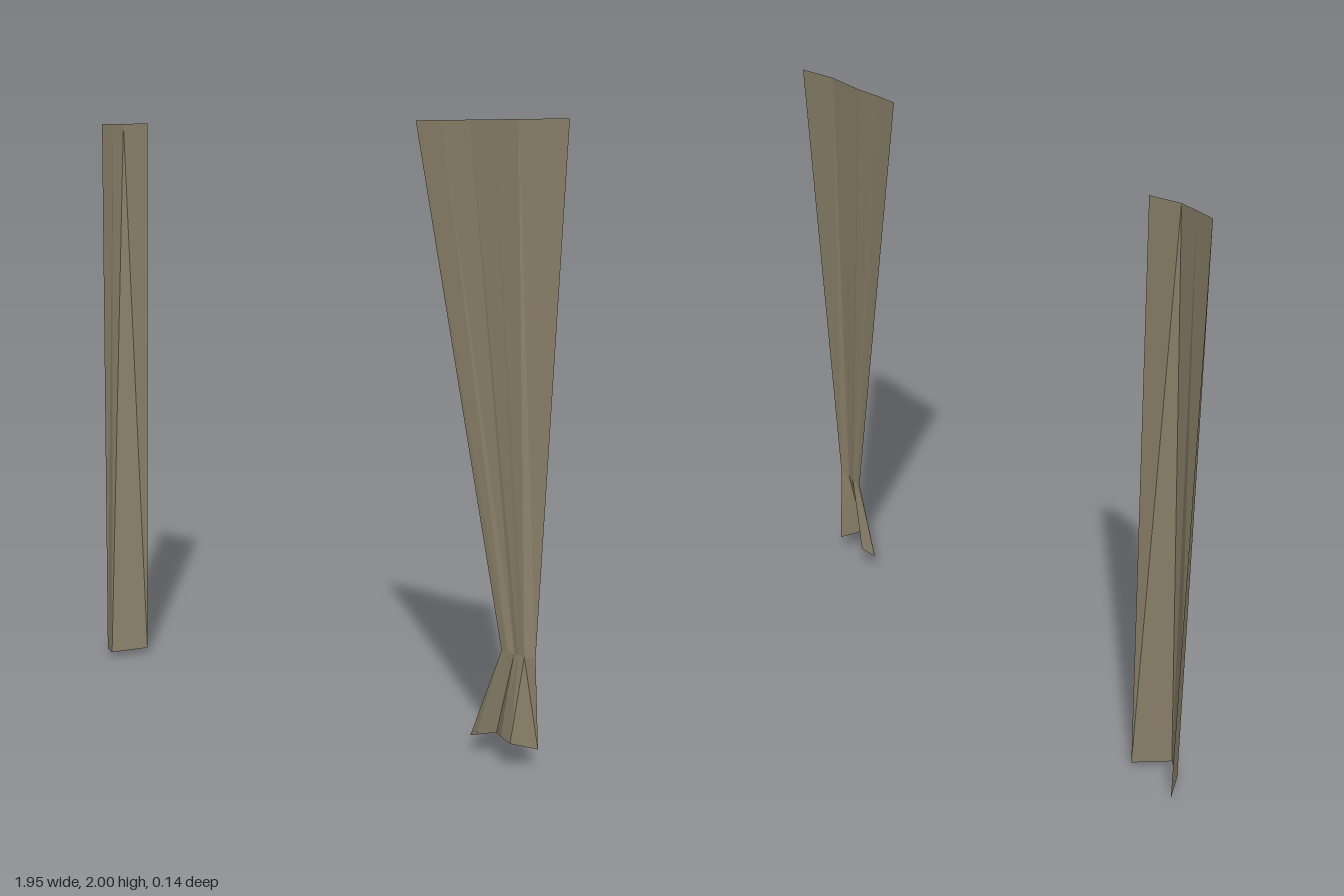
import * as THREE from 'three';

// Pleated cloth sheet from cross-section rows, listed top to bottom, points running along +x
function clothSheet(name, rows, material) {
  const columns = rows[0].length;
  const index = [];
  for (let r = 0; r < rows.length - 1; r++) {
    for (let c = 0; c < columns - 1; c++) {
      const a = r * columns + c;
      const b = a + columns;
      index.push(a, b, b + 1, a, b + 1, a + 1);
    }
  }
  const geometry = new THREE.BufferGeometry();
  geometry.setAttribute('position', new THREE.Float32BufferAttribute(rows.flat(2), 3));
  geometry.setIndex(index);
  const flat = geometry.toNonIndexed();
  flat.computeVertexNormals();
  const mesh = new THREE.Mesh(flat, material);
  mesh.name = name;
  return mesh;
}

export function createModel() {
  const group = new THREE.Group();
  group.name = 'curtains';

  const cloth = new THREE.MeshStandardMaterial({
    color: 0x8a8069, side: THREE.DoubleSide, flatShading: true,
  });
  cloth.name = 'olive cloth';

  // Narrow hanging curtain, folded outward toward its hem
  group.add(clothSheet('straightCurtain', [
    [[-0.975, 2, -0.07], [-0.905, 2, -0.058], [-0.84, 2, -0.048], [-0.74, 2, -0.07]],
    [[-0.95, 0, -0.045], [-0.9, 0.012, 0.035], [-0.84, 0.02, 0.07], [-0.763, 0.025, -0.043]],
  ], cloth));

  // Wide curtain, gathered near the bottom
  const gather = [
    [0.82, 0.37, -0.022], [0.845, 0.37, -0.018], [0.866, 0.37, -0.022],
    [0.885, 0.37, -0.016], [0.908, 0.37, -0.012], [0.94, 0.37, -0.025],
  ];
  group.add(clothSheet('gatheredCurtain', [
    [[0.43, 2, -0.073], [0.53, 2, -0.068], [0.63, 2, -0.071],
      [0.72, 2, -0.063], [0.81, 2, -0.055], [0.97, 2, -0.073]],
    gather,
  ], cloth));

  // Flared hem below the gather
  group.add(clothSheet('curtainHem', [
    gather,
    [[0.705, 0.055, -0.035], [0.74, 0.072, -0.018], [0.8, 0.088, -0.038],
      [0.845, 0.102, 0.01], [0.893, 0.098, 0.034], [0.95, 0.07, -0.04]],
  ], cloth));

  return group;
}
